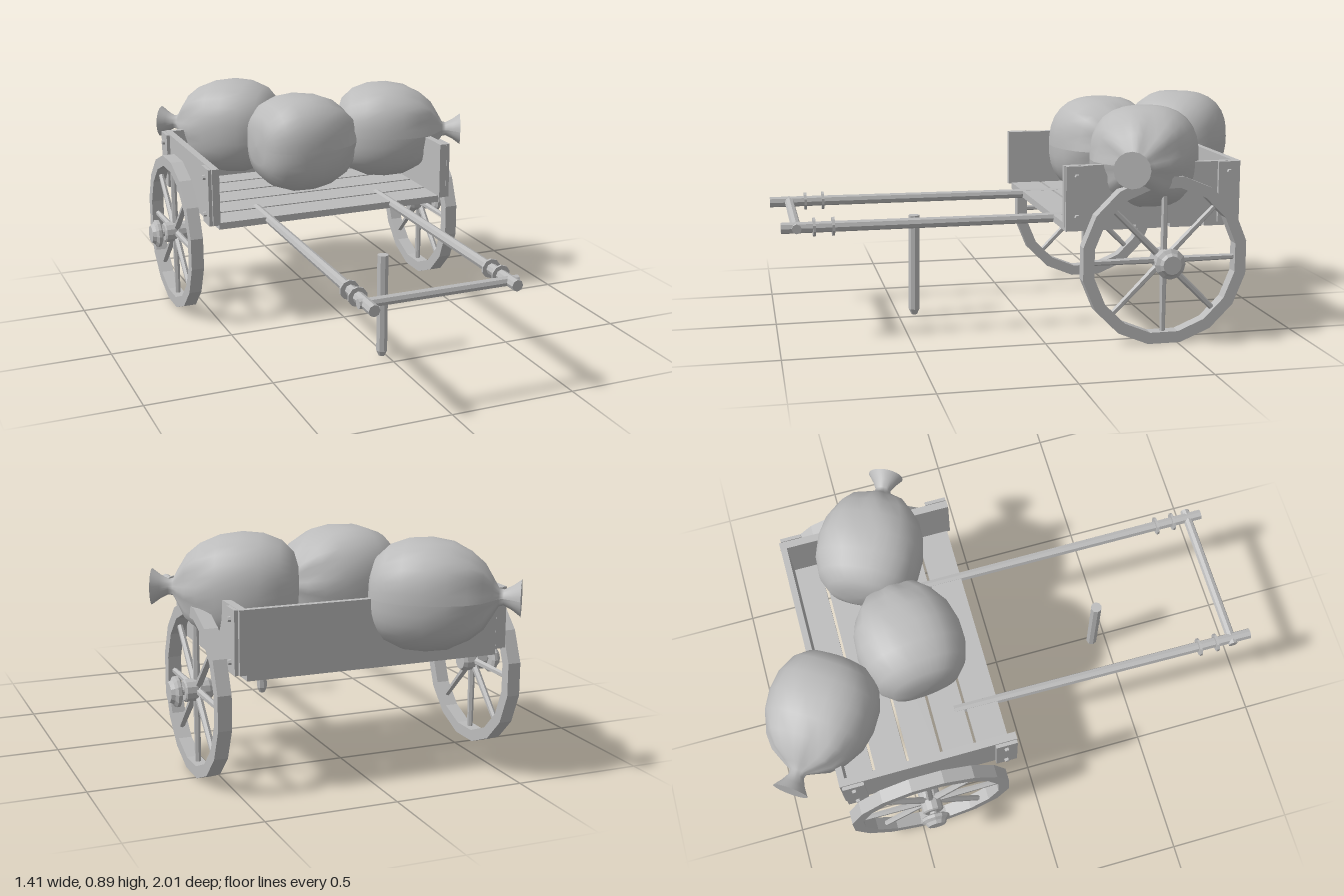
import * as THREE from 'three';

const greyWood = new THREE.MeshStandardMaterial({ color: 0xbcbcbc });
greyWood.name = 'grey';
const MID = -0.018; // x of the cart's centre line

function add(parent, geometry, name, x = 0, y = 0, z = 0) {
  const mesh = new THREE.Mesh(geometry, greyWood);
  mesh.name = name;
  mesh.position.set(x, y, z);
  parent.add(mesh);
  return mesh;
}
const box = (w, h, d) => new THREE.BoxGeometry(w, h, d);
const faceted = (geometry) => {
  const g = geometry.toNonIndexed();
  g.computeVertexNormals();
  return g;
};
const rod = (r0, r1, length, sides = 8) => faceted(new THREE.CylinderGeometry(r1, r0, length, sides));

// Round bar between two points
function bar(parent, name, a, b, r0, r1 = r0, sides = 8) {
  const from = new THREE.Vector3(...a), to = new THREE.Vector3(...b);
  const dir = to.clone().sub(from);
  const mesh = add(parent, rod(r0, r1, dir.length(), sides), name);
  mesh.position.copy(from).add(to).multiplyScalar(0.5);
  mesh.quaternion.setFromUnitVectors(new THREE.Vector3(0, 1, 0), dir.normalize());
  return mesh;
}

// Wheel built around the x axis, outside towards +x
function makeWheel(name) {
  const wheel = new THREE.Group();
  wheel.name = name;
  const ring = (r) => Array.from({ length: 16 }, (_, i) => {
    const a = ((i + 0.5) / 16) * Math.PI * 2;
    return new THREE.Vector2(Math.cos(a) * r, Math.sin(a) * r);
  });
  const shape = new THREE.Shape(ring(0.33));
  shape.holes.push(new THREE.Path(ring(0.285).reverse()));
  const rimGeo = new THREE.ExtrudeGeometry(shape, { depth: 0.052, bevelEnabled: false });
  rimGeo.translate(0, 0, -0.026).rotateY(Math.PI / 2);
  add(wheel, rimGeo, 'rim');
  for (let i = 0; i < 8; i++) {
    const a = (i / 8) * Math.PI * 2, c = Math.cos(a), s = Math.sin(a);
    bar(wheel, 'spoke', [0, s * 0.03, c * 0.03], [0, s * 0.295, c * 0.295], 0.014, 0.011, 6);
  }
  // Hub barrel, axle pin and rounded cap
  const profile = [[0, -0.055], [0.035, -0.055], [0.043, -0.04], [0.043, -0.005], [0.036, 0], [0.043, 0.005],
    [0.043, 0.046], [0.036, 0.051], [0.016, 0.051], [0.016, 0.066], [0.045, 0.066], [0.059, 0.073],
    [0.059, 0.085], [0.045, 0.094], [0.036, 0.108], [0, 0.108]];
  const hub = faceted(new THREE.LatheGeometry(profile.map((p) => new THREE.Vector2(...p)), 12));
  add(wheel, hub.rotateZ(-Math.PI / 2), 'hub');
  return wheel;
}

// Tied sack along its own +x, with flat underside and pleats at the tie
function makeSack(name, centre, yaw) {
  const points = [[-0.215, 0], [-0.212, 0.08], [-0.195, 0.135], [-0.15, 0.18], [-0.08, 0.207], [0, 0.213],
    [0.08, 0.2], [0.15, 0.166], [0.2, 0.12], [0.232, 0.07], [0.252, 0.034], [0.27, 0.03], [0.3, 0.046], [0.332, 0.07]];
  const body = new THREE.LatheGeometry(points.map(([t, r]) => new THREE.Vector2(r, t)), 32);
  body.rotateZ(-Math.PI / 2);
  const p = body.attributes.position;
  for (let i = 0; i < p.count; i++) {
    const x = p.getX(i), y = p.getY(i), z = p.getZ(i);
    const a = Math.atan2(z, y), c = Math.abs(Math.cos(a)), s = Math.abs(Math.sin(a));
    // Squarish cross-section on the body, pleats towards the neck
    const square = x < 0.22 ? Math.pow(c ** 2.5 + s ** 2.5, -1 / 2.5) : 1;
    const near = Math.max(0, 1 - Math.abs(x - 0.2) / 0.1);
    const k = square * (1 + 0.07 * near * Math.cos(8 * a));
    p.setXYZ(i, x, Math.max(-0.195, Math.min(0.202, y * k * 0.965)), z * k);
  }
  body.computeVertexNormals();
  const sack = new THREE.Group();
  sack.name = name;
  add(sack, body, 'sackBody');
  const end = new THREE.CircleGeometry(0.07, 16).rotateY(Math.PI / 2);
  add(sack, end, 'sackMouth', 0.331);
  sack.position.set(...centre);
  sack.rotation.y = yaw;
  return sack;
}

export function createModel() {
  const model = new THREE.Group();
  model.name = 'handcart';

  // Deck of five boards
  for (let i = 0; i < 5; i++) {
    add(model, box(0.99, 0.028, 0.128), 'deckBoard', MID, 0.451, -0.147 - i * 0.139);
  }
  // Side boards with corner cleats and bolts, and the tailboard
  for (const s of [-1, 1]) {
    add(model, box(0.03, 0.235, 0.7), 'sideBoard', MID + s * 0.508, 0.577, -0.42);
    for (const z of [-0.115, -0.72]) {
      add(model, box(0.014, 0.235, 0.085), 'cleat', MID + s * 0.532, 0.577, z);
      for (const y of [0.5, 0.655]) {
        bar(model, 'bolt', [MID + s * 0.535, y, z], [MID + s * 0.55, y, z], 0.012, 0.009, 6);
      }
    }
  }
  add(model, box(0.99, 0.235, 0.025), 'tailboard', MID, 0.577, -0.757);

  // Pulling shafts with collars
  const shafts = [{ front: -0.308, back: -0.293, end: 1 }, { front: 0.26, back: 0.262, end: 0.978 }];
  for (const { front, back, end } of shafts) {
    bar(model, 'shaft', [front, 0.453, end], [back, 0.452, -0.26], 0.022, 0.019);
    for (const z of [0.78, 0.853]) {
      bar(model, 'collar', [front, 0.453, z - 0.005], [front, 0.453, z + 0.005], 0.037, 0.037, 10);
    }
  }
  // Handle and prop leg
  bar(model, 'handle', [-0.335, 0.453, 0.92], [0.293, 0.453, 0.92], 0.019);
  bar(model, 'propLeg', [-0.022, 0.035, 0.435], [-0.018, 0.43, 0.43], 0.023, 0.023, 8);
  bar(model, 'propLegTip', [-0.022, 0.012, 0.435], [-0.022, 0.035, 0.435], 0.012, 0.023, 8);

  // Wheels
  const left = makeWheel('leftWheel');
  left.position.set(0.562, 0.33, -0.447);
  const right = makeWheel('rightWheel');
  right.position.set(-0.597, 0.33, -0.447);
  right.rotation.y = Math.PI;
  model.add(left, right);

  // Load of three sacks
  model.add(makeSack('middleSack', [-0.043, 0.692, -0.37], 0.1));
  model.add(makeSack('leftSack', [0.375, 0.697, -0.42], -0.43));
  model.add(makeSack('rearSack', [-0.23, 0.693, -0.765], Math.PI - 0.6));
  return model;
}
